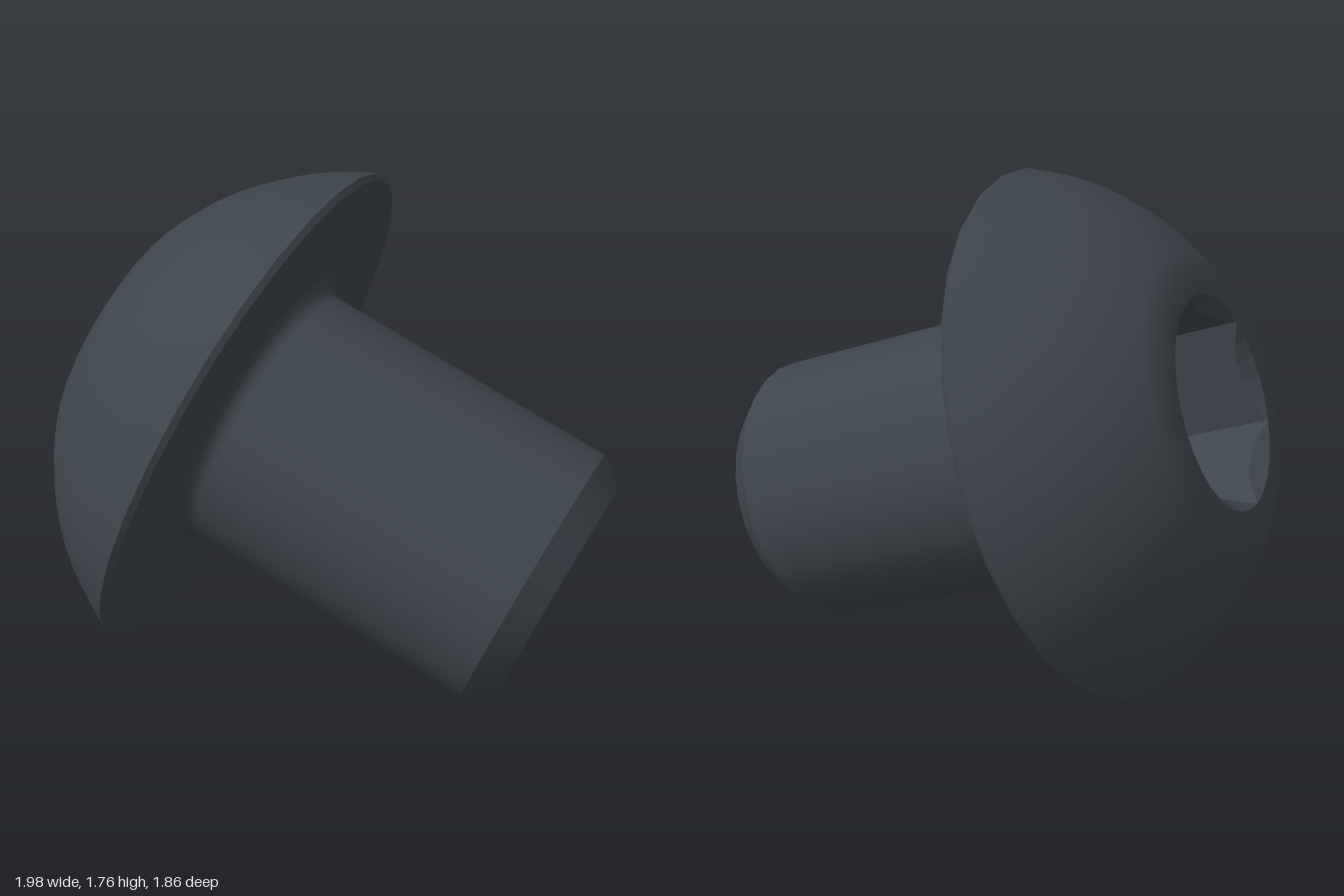
import * as THREE from 'three';

const SIDES = 30;
const HEAD_R = 0.945, HEAD_H = 0.535;      // head radius and height
const SOCKET_R = 0.375, SOCKET_DEPTH = 0.34; // hex corner radius and depth
const SHANK_R = 0.49, FILLET = 0.06;

// Points on an arc, from angle a0 to a1
function arc(cx, cy, r, a0, a1, n) {
  return Array.from({ length: n + 1 }, (_, i) => {
    const a = a0 + (a1 - a0) * i / n;
    return [cx + r * Math.cos(a), cy + r * Math.sin(a)];
  });
}

// Faceted band between two profiles that vary with the angle; each returns [radius, y]
function band(lower, upper) {
  const pos = [];
  const point = (fn, j) => {
    const phi = j / SIDES * Math.PI * 2;
    const [r, y] = fn(phi);
    return [r * Math.sin(phi), y, r * Math.cos(phi)];
  };
  for (let j = 0; j < SIDES; j++) {
    const a = point(lower, j), b = point(lower, j + 1);
    const c = point(upper, j + 1), d = point(upper, j);
    pos.push(...a, ...b, ...d, ...c, ...d, ...b);
  }
  const geo = new THREE.BufferGeometry();
  geo.setAttribute('position', new THREE.Float32BufferAttribute(pos, 3));
  geo.computeVertexNormals();
  return geo;
}

export function createModel() {
  const steel = new THREE.MeshStandardMaterial({ color: 0x3d444b });
  steel.name = 'dark steel';
  const screw = new THREE.Group();
  screw.name = 'buttonHeadScrew';

  const add = (name, geo) => {
    const mesh = new THREE.Mesh(geo, steel);
    mesh.name = name;
    screw.add(mesh);
  };
  const turn = (name, pts) => add(name,
    new THREE.LatheGeometry(pts.map(([x, y]) => new THREE.Vector2(x, y)), SIDES));

  // Shank: flat tip, chamfer, and body with a fillet under the head
  turn('tip', [[0, -1.245], [0.41, -1.245]]);
  turn('tipChamfer', [[0.41, -1.245], [SHANK_R, -1.147]]);
  turn('shank', [[SHANK_R, -1.147],
    ...arc(SHANK_R + FILLET, -FILLET, FILLET, Math.PI, Math.PI / 2, 5)]);

  // Head: flat underside, narrow rim, spherical dome with a flat crown
  turn('headUnderside', [[SHANK_R + FILLET, 0], [0.93, 0]]);
  turn('headRim', [[0.93, 0], [HEAD_R, 0.02]]);
  const cy = -0.376, domeR = Math.hypot(HEAD_R, 0.02 - cy);
  const dome = arc(0, cy, domeR, Math.atan2(0.02 - cy, HEAD_R), Math.atan2(HEAD_H - cy, 0.47), 10);
  turn('headDome', [...dome, [SOCKET_R, HEAD_H]]);

  // Hex socket: scalloped countersink, six walls and a floor
  const apothem = SOCKET_R * Math.cos(Math.PI / 6);
  const hexR = (phi) => {
    const side = Math.PI / 3;
    const k = Math.round(phi / side * 1e6) / 1e6;
    return apothem / Math.cos((k - Math.floor(k) - 0.5) * side);
  };
  const rim = () => [SOCKET_R, HEAD_H];
  const scallop = (phi) => [hexR(phi), HEAD_H - (SOCKET_R - hexR(phi))];
  const base = (phi) => [hexR(phi), HEAD_H - SOCKET_DEPTH];
  add('socketCountersink', band(rim, scallop));
  add('socketWalls', band(scallop, base));
  add('socketFloor', band(base, () => [0, HEAD_H - SOCKET_DEPTH]));

  // Lay the screw over so its tip points to the left, down and slightly forward
  const up = new THREE.Vector3(-0.913, 0.361, -0.189).normalize();
  const side = new THREE.Vector3(-1, 0, 0).addScaledVector(up, up.x).normalize();
  const third = new THREE.Vector3().crossVectors(side, up);
  screw.quaternion.setFromRotationMatrix(new THREE.Matrix4().makeBasis(side, up, third));
  screw.position.set(-0.307, 0.882, 0);

  const model = new THREE.Group();
  model.name = 'screw';
  model.add(screw);
  return model;
}
